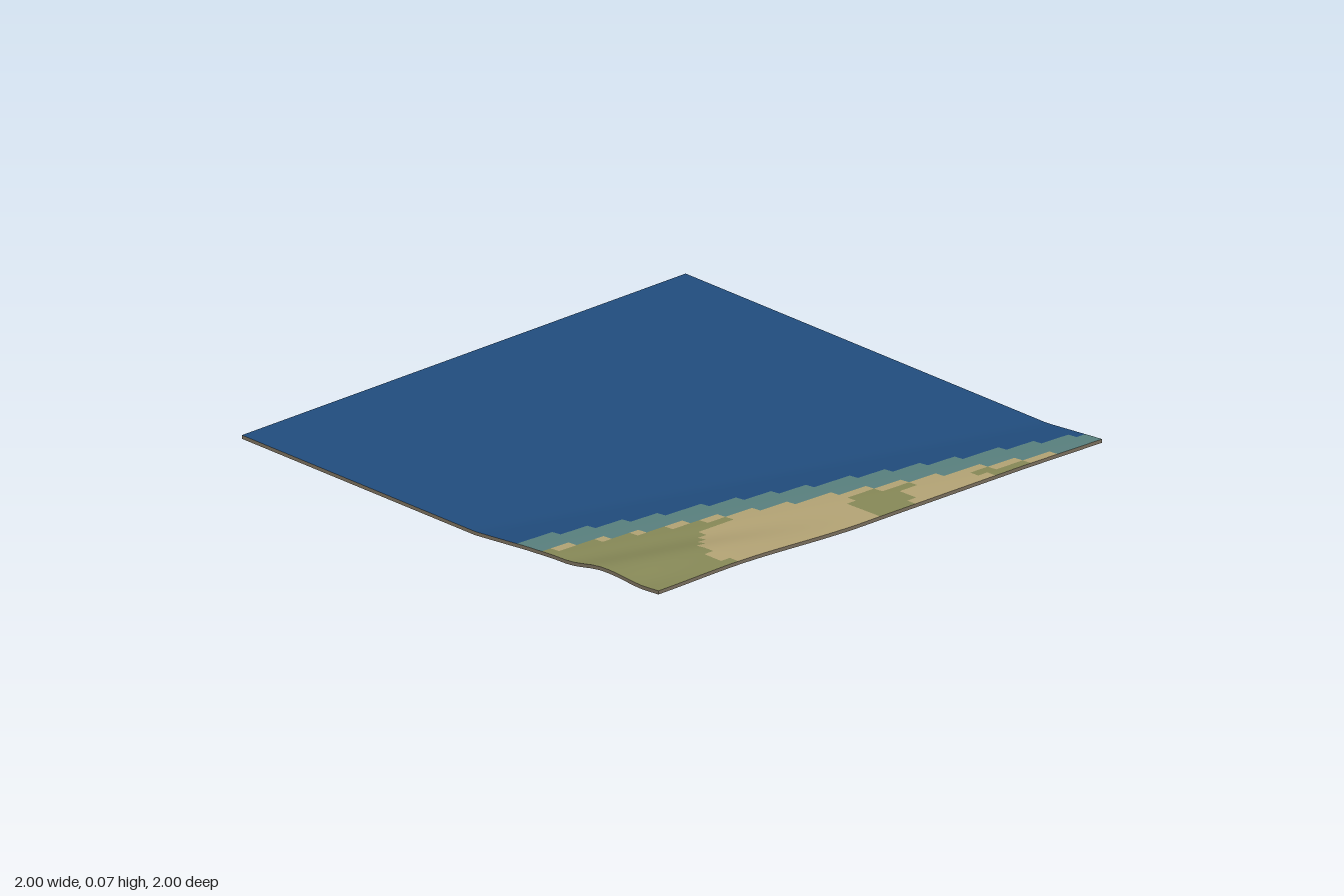
import * as THREE from 'three';

const N = 50, STEP = 2 / N, THICK = 0.013;

const mat = (name, color) => {
  const m = new THREE.MeshStandardMaterial({ color });
  m.name = name;
  return m;
};

// Distance inland: the coast runs diagonally across the tile
const inland = (x, z) => x + 0.3077 * z;
const { smoothstep, lerp, clamp } = THREE.MathUtils;

// Height of the underside above the ground
const profile = [[0.43, 0], [0.67, 0.022], [0.8, 0.031], [1.0, 0.036], [1.4, 0.036]];
function height(x, z) {
  const u = inland(x, z);
  if (u <= 0.43) return 0;
  let h = 0.036;
  for (let i = 1; i < profile.length; i++) {
    const [a, ha] = profile[i - 1], [b, hb] = profile[i];
    if (u <= b) { h = lerp(ha, hb, (u - a) / (b - a)); break; }
  }
  const hill = 0.025 * smoothstep(u, 0.86, 1.06) * smoothstep(z, 0.05, 0.7);
  const dip = 0.009 * Math.exp(-(((x - 0.91) / 0.08) ** 2) - ((z - 0.95) / 0.15) ** 2);
  return h + hill - dip;
}

// First sandy x for bands of z: [zMin, zMax, xMin, xMax]
const sandBands = [
  [-0.52, -0.48, 0.96, 1], [-0.48, -0.44, 0.92, 1], [-0.44, -0.40, 0.88, 1],
  [-0.40, -0.32, 0.84, 1], [-0.32, -0.20, 0.88, 1], [-0.20, -0.16, 0.96, 1],
  [-0.04, 0, 0.76, 0.84], [0, 0.36, 0.60, 1], [0.36, 0.52, 0.68, 1],
  [0.52, 0.56, 0.72, 1], [0.56, 0.60, 0.76, 1], [0.60, 0.64, 0.80, 1],
  [0.64, 0.68, 0.88, 0.96],
];

// Colour index of a cell: 0 deep water, 1 shallows, 2 sand, 3 grass
function cellColour(x, z) {
  const u = inland(x, z);
  if (u < 0.603) return 0;
  if (u < 0.733) return 1;
  if (u < 0.733 + clamp(0.037 - 0.022 * z, 0.012, 0.036)) return 2;
  return sandBands.some(([z0, z1, x0, x1]) => z > z0 && z < z1 && x > x0 && x < x1) ? 2 : 3;
}

// One face of the sheet, its cells grouped by colour
function sheet(offset, flip) {
  const geo = new THREE.PlaneGeometry(2, 2, N, N).rotateX(-Math.PI / 2);
  const pos = geo.attributes.position;
  for (let i = 0; i < pos.count; i++) pos.setY(i, height(pos.getX(i), pos.getZ(i)) + offset);
  const buckets = [[], [], [], []];
  for (let r = 0; r < N; r++) for (let c = 0; c < N; c++) {
    const a = r * (N + 1) + c, b = a + N + 1;
    const tris = flip ? [a, a + 1, b, b, a + 1, b + 1] : [a, b, a + 1, b, b + 1, a + 1];
    buckets[cellColour(-1 + (c + 0.5) * STEP, -1 + (r + 0.5) * STEP)].push(...tris);
  }
  geo.clearGroups();
  geo.setIndex(buckets.flat());
  let start = 0;
  buckets.forEach((b, i) => { geo.addGroup(start, b.length, i); start += b.length; });
  geo.computeVertexNormals();
  return geo;
}

// Thin rim strip along one side; point(t) walks it with outside on the right
function rim(point) {
  const verts = [], index = [];
  for (let i = 0; i <= N; i++) {
    const [x, z] = point(-1 + i * STEP), y = height(x, z);
    verts.push(x, y, z, x, y + THICK, z);
    if (i < N) index.push(2 * i, 2 * i + 2, 2 * i + 1, 2 * i + 1, 2 * i + 2, 2 * i + 3);
  }
  const geo = new THREE.BufferGeometry();
  geo.setAttribute('position', new THREE.Float32BufferAttribute(verts, 3));
  geo.setIndex(index);
  geo.computeVertexNormals();
  return geo;
}

export function createModel() {
  const group = new THREE.Group();
  group.name = 'coastTile';
  const ground = [
    mat('deepWater', 0x214d7e), mat('shallows', 0x5a8280),
    mat('sand', 0xb5a576), mat('grass', 0x888a58),
  ];
  const earth = mat('earth', 0x7d7260);
  const add = (name, geo, material) => {
    const mesh = new THREE.Mesh(geo, material);
    mesh.name = name;
    group.add(mesh);
  };

  add('terrainTop', sheet(THICK, false), ground);
  add('terrainUnderside', sheet(0, true), ground);
  add('frontRim', rim(t => [t, 1]), earth);
  add('leftRim', rim(t => [1, -t]), earth);
  add('backRim', rim(t => [-t, -1]), earth);
  add('rightRim', rim(t => [-1, t]), earth);
  return group;
}
